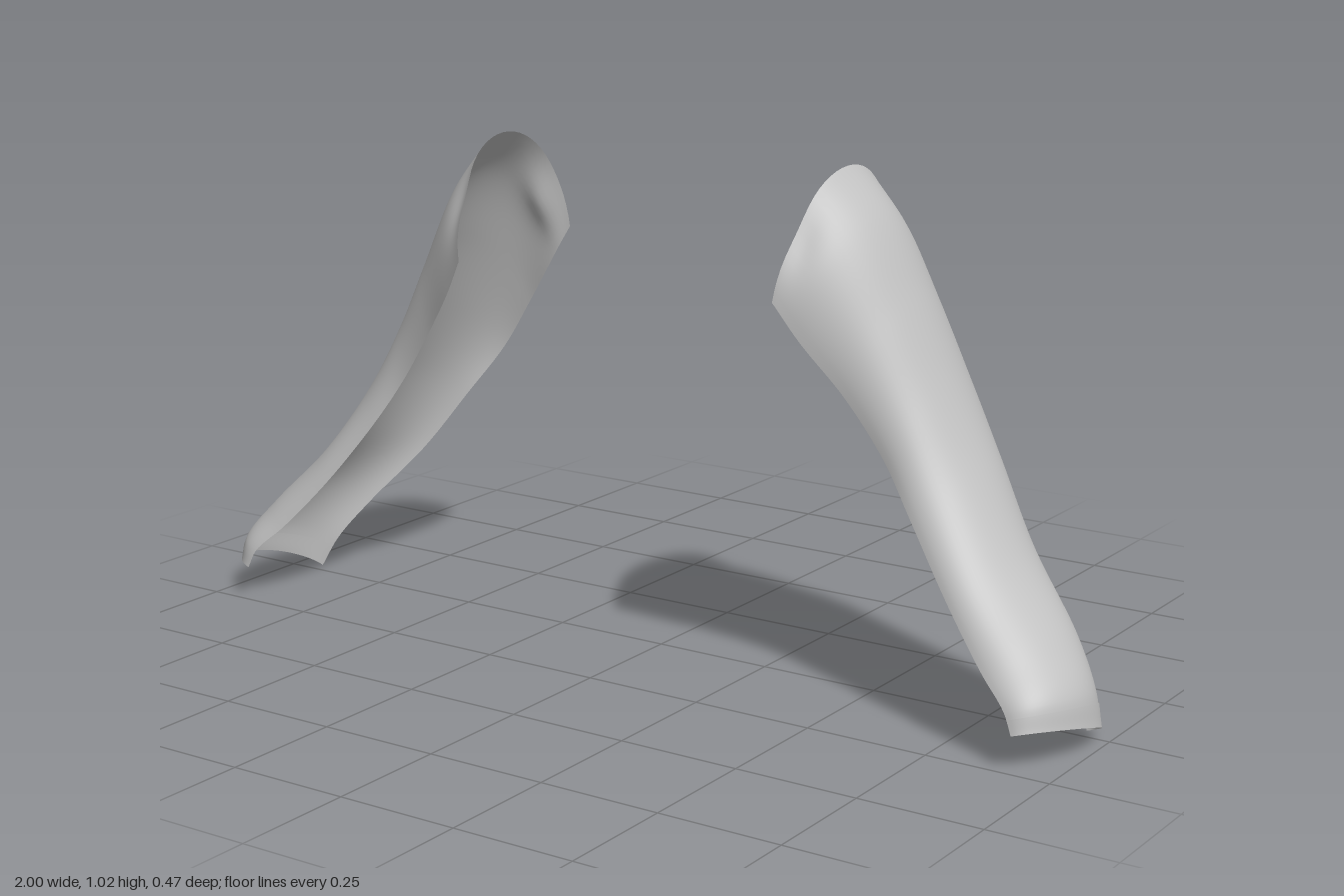
import * as THREE from 'three';

// Sections from shoulder to wrist: front edge, crown and back edge of the open half-shell
const SECTIONS = [
  [[0.36, 0.785, 0.165], [0.40, 1.02, -0.04], [0.37, 0.80, -0.23]],
  [[0.41, 0.71, 0.145], [0.48, 0.93, -0.045], [0.42, 0.72, -0.225]],
  [[0.49, 0.61, 0.115], [0.555, 0.785, -0.05], [0.49, 0.62, -0.235]],
  [[0.57, 0.50, 0.105], [0.63, 0.63, -0.05], [0.56, 0.515, -0.232]],
  [[0.64, 0.40, 0.125], [0.71, 0.485, -0.035], [0.635, 0.41, -0.195]],
  [[0.74, 0.27, 0.165], [0.81, 0.33, 0.01], [0.73, 0.28, -0.15]],
  [[0.835, 0.165, 0.205], [0.93, 0.20, 0.06], [0.84, 0.155, -0.09]],
  [[0.895, 0.11, 0.23], [0.985, 0.12, 0.09], [0.905, 0.07, -0.05]],
  [[0.915, 0.07, 0.238], [0.997, 0.06, 0.10], [0.94, 0.003, -0.03]],
];
const [frontEdge, crown, backEdge] = [0, 1, 2].map((k) =>
  new THREE.CatmullRomCurve3(SECTIONS.map((s) => new THREE.Vector3(...s[k]))));

const bump = (d, width) => Math.exp(-((d / width) ** 2));

// Point on the arch at t (shoulder to wrist) and u (front edge to back edge)
function shellPoint(t, u, side, lift) {
  const f = frontEdge.getPoint(t);
  const c = crown.getPoint(t);
  const b = backEdge.getPoint(t);
  const middle = f.clone().add(b).multiplyScalar(0.5);
  const half = f.clone().sub(b).multiplyScalar(0.5);
  const rise = c.sub(middle);
  const a = u * Math.PI;
  // Soft cloth folds beside the armhole
  const fold = 1 - 0.1 * bump(t - 0.07, 0.05) * bump(u - 0.84, 0.1)
    - 0.07 * bump(t - 0.01, 0.06) * bump(u - 0.2, 0.1);
  const p = middle
    .addScaledVector(half, Math.cos(a) * fold)
    .addScaledVector(rise, Math.sin(a) * fold * (1 + lift));
  p.x = side * (p.x + (side < 0 ? 0.02 * (1 - t) : 0));
  return p;
}

// Grid of quads over a stretch of the sleeve
function shellGeometry(t0, t1, rows, side, lift = 0) {
  const cols = 32;
  const positions = [];
  const index = [];
  for (let i = 0; i <= rows; i++) {
    for (let j = 0; j <= cols; j++) {
      const t = t0 + ((t1 - t0) * i) / rows;
      positions.push(...shellPoint(t, j / cols, side, lift).toArray());
      if (i < rows && j < cols) {
        const a = i * (cols + 1) + j;
        const d = a + cols + 1;
        if (side > 0) index.push(a, d, a + 1, a + 1, d, d + 1);
        else index.push(a, a + 1, d, a + 1, d + 1, d);
      }
    }
  }
  const geometry = new THREE.BufferGeometry();
  geometry.setAttribute('position', new THREE.Float32BufferAttribute(positions, 3));
  geometry.setIndex(index);
  geometry.computeVertexNormals();
  return geometry;
}

export function createModel() {
  const model = new THREE.Group();
  model.name = 'sleevePair';
  const cloth = new THREE.MeshStandardMaterial({ color: 0xc0c0c0, side: THREE.DoubleSide });
  cloth.name = 'grey cloth';

  for (const side of [1, -1]) {
    const sleeve = new THREE.Group();
    sleeve.name = side > 0 ? 'leftSleeve' : 'rightSleeve';
    const add = (name, geometry) => {
      const mesh = new THREE.Mesh(geometry, cloth);
      mesh.name = name;
      sleeve.add(mesh);
    };
    add('sleeveShell', shellGeometry(0, 0.92, 64, side));
    // Hem band, raised slightly along its seam
    add('cuff', shellGeometry(0.917, 1, 8, side, 0.025));
    model.add(sleeve);
  }
  return model;
}
